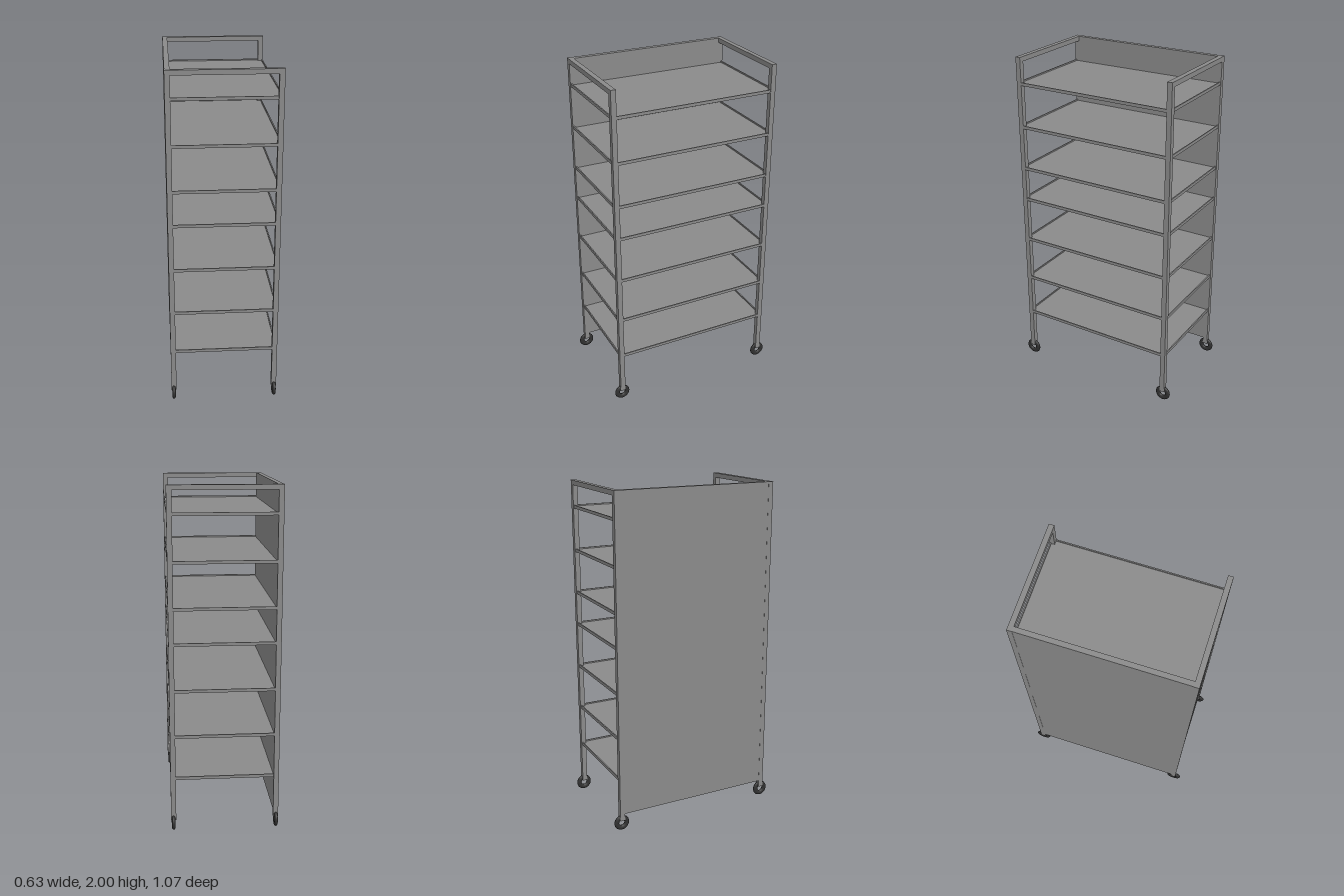
import * as THREE from 'three';

const W = 0.316, D = 0.5, H = 2, T = 0.03; // half width, half depth, height, frame tube size

export function createModel() {
  const model = new THREE.Group();
  const grey = new THREE.MeshStandardMaterial({ color: 0x8a8a8a });
  const rubber = new THREE.MeshStandardMaterial({ color: 0x303030 });

  // Box given by its minimum and maximum corners
  const box = (name, x0, x1, y0, y1, z0, z1) => {
    const mesh = new THREE.Mesh(new THREE.BoxGeometry(x1 - x0, y1 - y0, z1 - z0), grey);
    mesh.position.set((x0 + x1) / 2, (y0 + y1) / 2, (z0 + z1) / 2);
    mesh.name = name;
    model.add(mesh);
  };

  // Ring wheel, narrower across than it is deep
  const wheelGeometry = new THREE.TorusGeometry(0.032, 0.015, 12, 32);
  wheelGeometry.scale(1, 1, 0.7).rotateY(Math.PI / 2);

  for (const sz of [-1, 1]) {
    const z0 = sz > 0 ? D - T : -D, z1 = z0 + T;
    for (const sx of [-1, 1]) {
      // Corner posts reaching down over the wheels
      const x0 = sx > 0 ? W - T : -W;
      box('cornerPost', x0, x0 + T, 0.063, H, z0, z1);

      const wheel = new THREE.Mesh(wheelGeometry, rubber);
      wheel.name = 'wheel';
      wheel.position.set(sx * 0.302, 0.047, sz * 0.487);
      model.add(wheel);
    }
    // Top handle bar between the posts
    box('topRail', -W + T, W - T, H - 0.028, H, z0, z1);
  }

  // Closed side wall
  box('sidePanel', -W + 0.001, -W + T, 0.105, H, -D + T, D - T);

  // Shelves: a board sunk inside a thin raised rim
  const rim = 0.007, zs = D - 0.004, xl = -W + T, xr = W - 0.001;
  for (const y of [0.325, 0.58, 0.853, 1.125, 1.326, 1.585, 1.845]) {
    const y0 = y - 0.009, y1 = y + 0.009;
    box('shelfBoard', xl, xr - rim, y0 + 0.001, y1 - 0.008, -zs + rim, zs - rim);
    box('shelfSideRim', xr - rim, xr, y0, y1, -D + T, D - T);
    box('shelfFrontRim', xl, W - T, y0, y1, zs - rim, zs);
    box('shelfBackRim', xl, W - T, y0, y1, -zs, -zs + rim);
  }
  return model;
}
